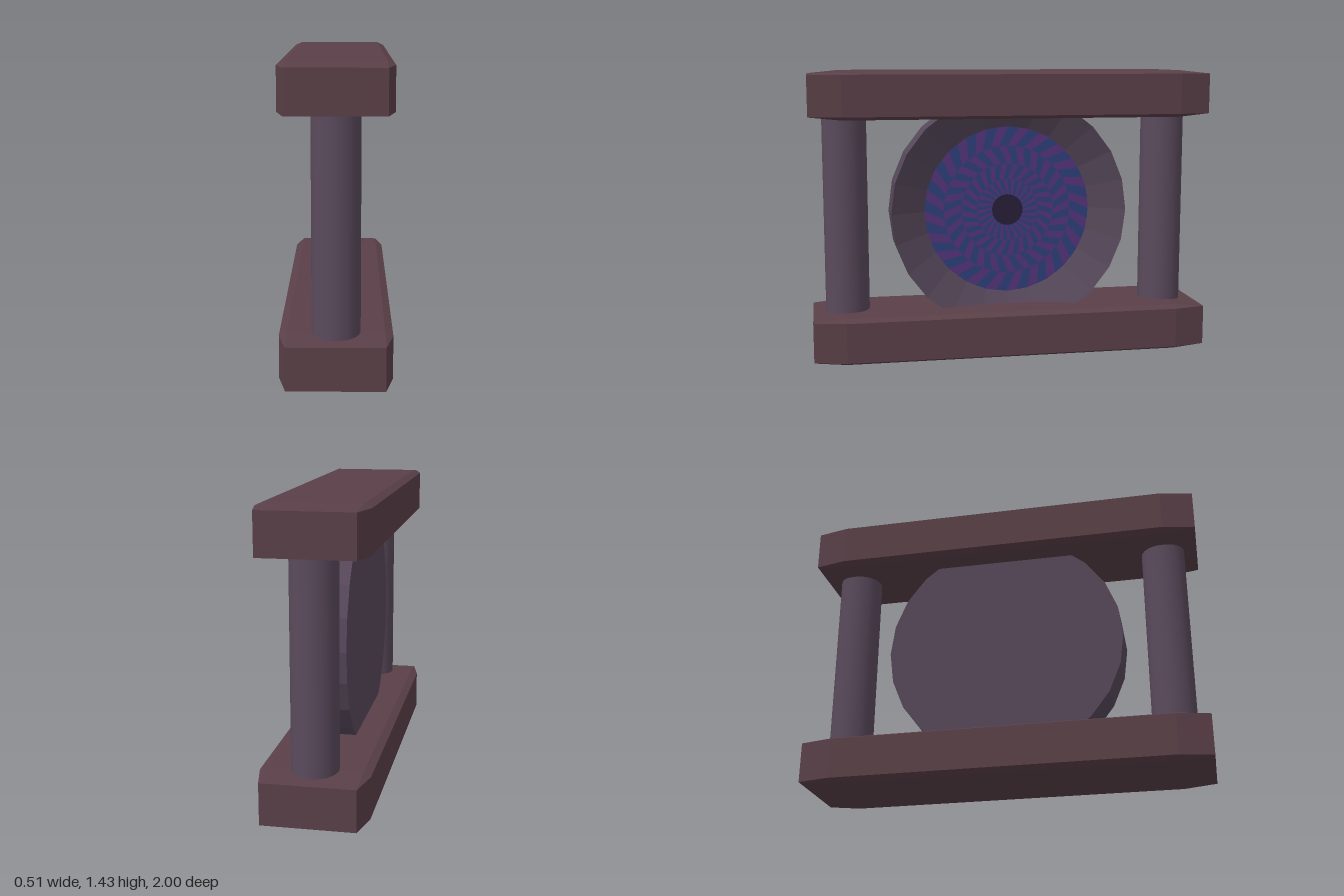
import * as THREE from 'three';
import { ConvexGeometry } from 'three/addons/geometries/ConvexGeometry.js';

const CENTRE_Y = 0.72;
const material = (color, flatShading = false) => {
  const m = new THREE.MeshStandardMaterial({ flatShading });
  m.color.set(color);
  return m;
};

// Bar with chamfered edges, long chamfers at both ends
function beamGeometry() {
  const points = [];
  for (const sx of [-1, 1]) for (const sy of [-1, 1]) for (const sz of [-1, 1]) {
    points.push(
      new THREE.Vector3(sx * 0.256, sy * 0.1, sz * 0.84),
      new THREE.Vector3(sx * 0.22, sy * 0.1165, sz * 0.84),
      new THREE.Vector3(sx * 0.22, sy * 0.1, sz),
    );
  }
  return new ConvexGeometry(points);
}

// Swept blades between two radii, facing +x
function bladeRing(inner, outer, count, sweep, x) {
  const positions = [];
  const at = (r, a) => [x, r * Math.cos(a), r * Math.sin(a)];
  const step = (Math.PI * 2) / count;
  for (let i = 0; i < count; i++) {
    const a = i * step, b = a + step / 2;
    const p = at(inner, a), q = at(outer, a + sweep);
    const s = at(outer, b + sweep), t = at(inner, b);
    positions.push(...p, ...q, ...s, ...p, ...s, ...t);
  }
  const geometry = new THREE.BufferGeometry();
  geometry.setAttribute('position', new THREE.Float32BufferAttribute(positions, 3));
  geometry.computeVertexNormals();
  return geometry;
}

export function createModel() {
  const model = new THREE.Group();
  model.name = 'framedDrum';
  const add = (name, geometry, mat, x, y, z) => {
    const mesh = new THREE.Mesh(geometry, mat);
    mesh.name = name;
    mesh.position.set(x, y, z);
    model.add(mesh);
    return mesh;
  };

  // Base and top bars
  const wood = material(0x5a4048, true);
  const beam = beamGeometry();
  add('lowerBeam', beam, wood, 0, 0.1165, 0);
  add('upperBeam', beam, wood, 0, 1.3185, 0);

  // Round posts at both ends
  const postMaterial = material(0x5a4a5c);
  const post = new THREE.CylinderGeometry(0.11, 0.11, 1.05, 32);
  add('frontPost', post, postMaterial, 0, CENTRE_Y, 0.825);
  add('backPost', post, postMaterial, 0, CENTRE_Y, -0.825);

  // Drum: flat on the -x side, conical dish on the +x side
  const profile = [[0, -0.1], [0.605, -0.1], [0.605, 0.1], [0.425, 0], [0, 0]]
    .map(([r, h]) => new THREE.Vector2(r, h));
  const drum = new THREE.LatheGeometry(profile, 24).rotateZ(-Math.PI / 2);
  add('drum', drum, material(0x56485a, true), 0, CENTRE_Y, 0);

  // Patterned disc in the dish, with swept blades and a dark hub
  const disc = new THREE.CircleGeometry(0.43, 48).rotateY(Math.PI / 2);
  add('disc', disc, material(0x54347a), 0.003, CENTRE_Y, 0);
  const blue = material(0x2c4078);
  const radii = [0.08, 0.16, 0.24, 0.33, 0.428];
  for (let i = 0; i < 4; i++) {
    const sweep = (i % 2 ? -1 : 1) * 0.14;
    add('discBlades', bladeRing(radii[i], radii[i + 1], 24, sweep, 0.005), blue, 0, CENTRE_Y, 0);
  }
  const hub = new THREE.CircleGeometry(0.08, 32).rotateY(Math.PI / 2);
  add('hub', hub, material(0x281e36), 0.007, CENTRE_Y, 0);

  return model;
}
